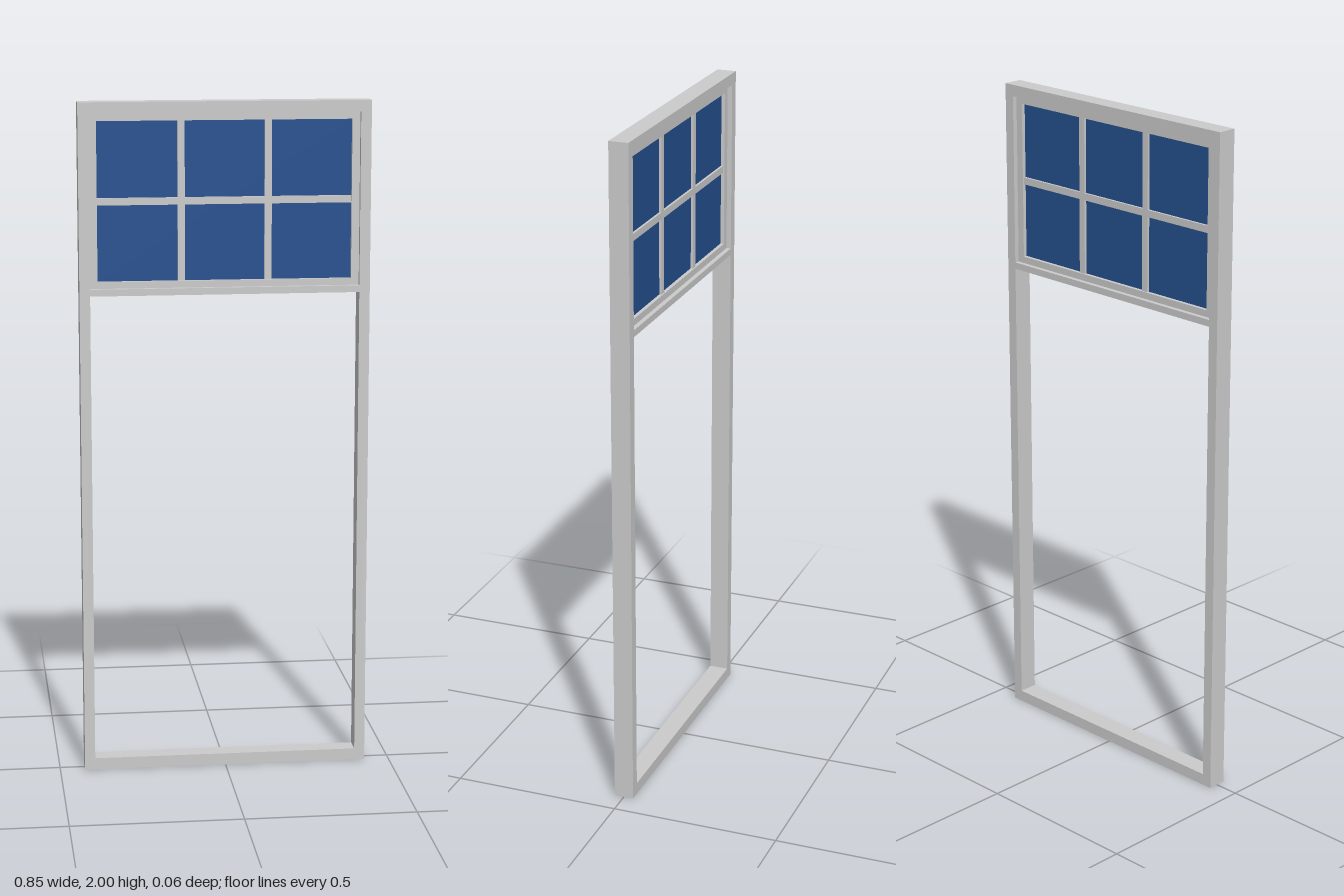
import * as THREE from 'three';

const frameMaterial = new THREE.MeshStandardMaterial({ color: 0xcccccc });
const glassMaterial = new THREE.MeshStandardMaterial({ color: 0x24508f });

// Outer frame, opening and glazing limits
const W = 0.426, INNER = 0.395, GLASS = 0.372;
const TOP = 1.966, BAR_LOW = 1.44, BAR_TOP = 1.46;
const GLASS_LOW = 1.48, GLASS_TOP = 1.945;
const DEPTH = 0.058, SASH_DEPTH = 0.03, MUNTIN_DEPTH = 0.022;

function rectPath(path, x0, x1, y0, y1) {
  path.moveTo(x0, y0);
  path.lineTo(x1, y0);
  path.lineTo(x1, y1);
  path.lineTo(x0, y1);
  path.closePath();
  return path;
}

// Flat rectangular plate with rectangular openings, centred on z = 0
function plate(name, outer, holes, depth) {
  const shape = rectPath(new THREE.Shape(), ...outer);
  for (const hole of holes) shape.holes.push(rectPath(new THREE.Path(), ...hole));
  const geometry = new THREE.ExtrudeGeometry(shape, { depth, bevelEnabled: false });
  geometry.translate(0, 0, -depth / 2);
  const mesh = new THREE.Mesh(geometry, frameMaterial);
  mesh.name = name;
  return mesh;
}

function box(name, x, y, w, h, d, material = frameMaterial) {
  const mesh = new THREE.Mesh(new THREE.BoxGeometry(w, h, d), material);
  mesh.position.set(x, y, 0);
  mesh.name = name;
  return mesh;
}

export function createModel() {
  const model = new THREE.Group();
  model.name = 'doorFrameWithTransomWindow';

  // Surround with a door opening below and a window opening above
  model.add(plate('outerFrame', [-W, W, 0, 2], [
    [-INNER, INNER, 0.035, BAR_LOW],
    [-INNER, INNER, BAR_TOP, TOP],
  ], DEPTH));

  // Recessed window sash
  const window = new THREE.Group();
  window.name = 'transomWindow';
  model.add(window);
  window.add(plate('sash', [-INNER, INNER, BAR_TOP, TOP],
    [[-GLASS, GLASS, GLASS_LOW, GLASS_TOP]], SASH_DEPTH));

  // Glazing bars dividing the window three by two
  const midY = (GLASS_LOW + GLASS_TOP) / 2, height = GLASS_TOP - GLASS_LOW;
  for (const [side, name] of [[1, 'leftGlazingBar'], [-1, 'rightGlazingBar']]) {
    window.add(box(name, side * 0.127, midY, 0.021, height, MUNTIN_DEPTH));
  }
  window.add(box('crossGlazingBar', 0, midY, 2 * GLASS, 0.021, MUNTIN_DEPTH));

  // Glass sheet
  window.add(box('glass', 0, midY, 2 * GLASS, height, 0.008, glassMaterial));

  return model;
}
